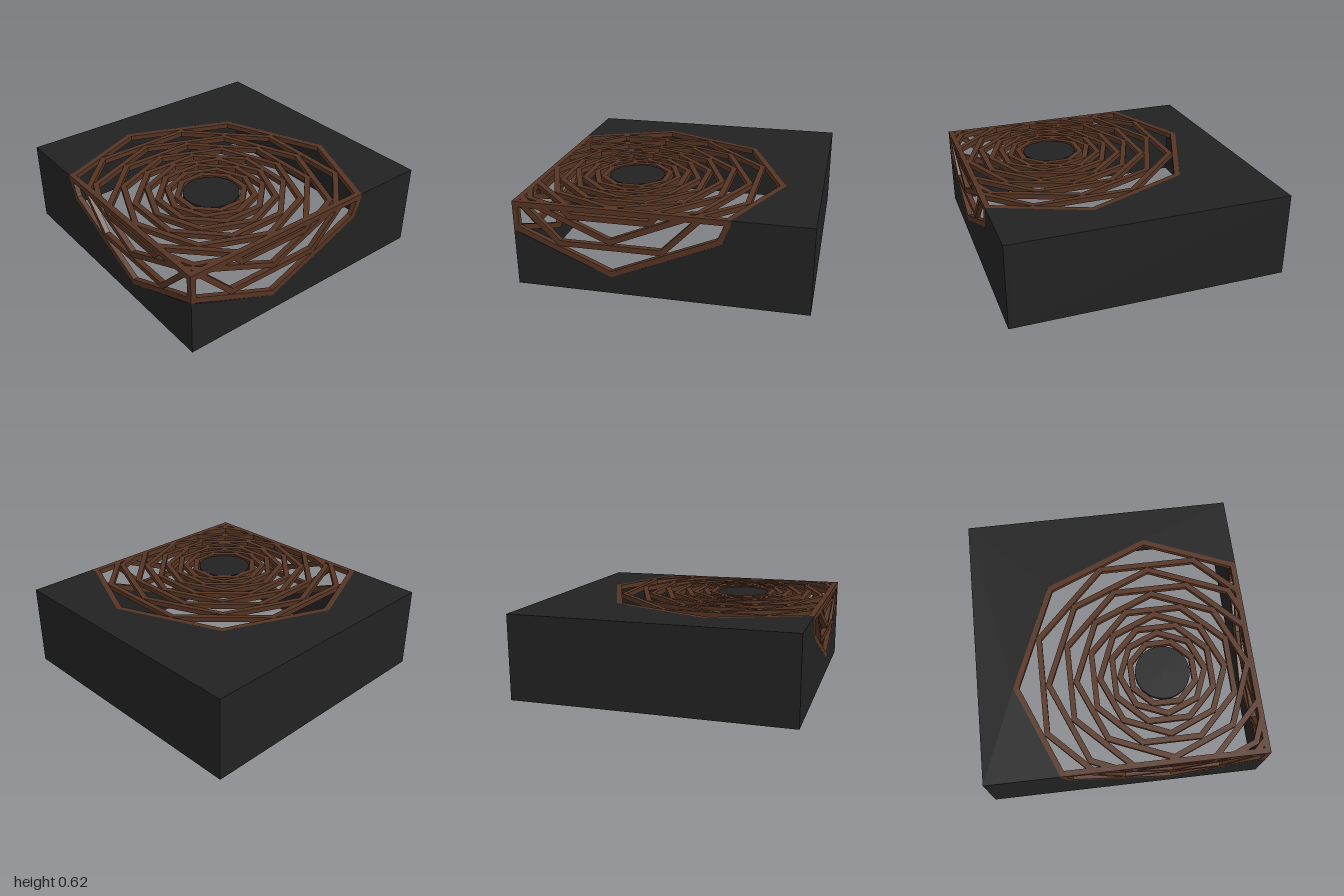
import * as THREE from 'three';
import { mergeGeometries } from 'three/addons/utils/BufferGeometryUtils.js';

const H = 0.61;        // box height
const WALL = 0.03;     // panel thickness
const BAR = 0.0395;    // width of the grille bars
const C = 0.33;        // distance of the grille centre from the middle

// Keeps the part of a convex polygon where sign * p[axis] >= sign * limit
function clip(poly, axis, limit, sign) {
  const out = [];
  poly.forEach((p, i) => {
    const q = poly[(i + 1) % poly.length];
    const dp = sign * (p[axis] - limit), dq = sign * (q[axis] - limit);
    if (dp >= 0) out.push(p);
    if (dp * dq < 0) {
      const t = dp / (dp - dq);
      out.push([p[0] + (q[0] - p[0]) * t, p[1] + (q[1] - p[1]) * t]);
    }
  });
  return out;
}

// Flat plate with its outer face at local z = level
function plate(points, depth, level) {
  const shape = new THREE.Shape(points.map(([x, y]) => new THREE.Vector2(x, y)));
  return new THREE.ExtrudeGeometry(shape, { depth, bevelEnabled: false }).translate(0, 0, level - depth);
}

// Nested octagons, each inscribed in the previous one and clipped at the box edges
function grille({ count, radius, cx, cy, scaleX = 1, mirror = 1, clips, level, lift = 0 }) {
  const bars = [];
  let r = radius;
  for (let k = 0; k < count; k++) {
    const inner = r - BAR / Math.cos(Math.PI / 8);
    const corner = (rad, i) => {
      const a = i * Math.PI / 4 + (k % 2) * Math.PI / 8;
      return [cx + rad * Math.cos(a) * scaleX, cy + rad * Math.sin(a)];
    };
    for (let i = 0; i < 8; i++) {
      let quad = [corner(r, i), corner(r, i + 1), corner(inner, i + 1), corner(inner, i)];
      for (const c of clips) quad = clip(quad, ...c);
      if (quad.length < 3) continue;
      bars.push(plate(quad.map(([x, y]) => [x * mirror, y]), 0.037, level + (k >= 6 ? lift : 0)));
    }
    r = r * Math.cos(Math.PI / 8) - BAR;
  }
  return mergeGeometries(bars);
}

export function createModel() {
  const model = new THREE.Group();
  const black = new THREE.MeshStandardMaterial({ color: 0x222222 });
  black.name = 'black';
  const brown = new THREE.MeshStandardMaterial({ color: 0x553423 });
  brown.name = 'brown';

  const add = (name, geometry, material, parent = model) => {
    const mesh = new THREE.Mesh(geometry, material);
    mesh.name = name;
    parent.add(mesh);
    return mesh;
  };
  const box = (name, size, pos, material) =>
    add(name, new THREE.BoxGeometry(...size), material).position.set(...pos);

  // Top panel with the octagonal opening running over two edges
  const top = new THREE.Group();
  top.name = 'top';
  top.rotation.x = -Math.PI / 2;
  model.add(top);
  add('topPanel', plate([
    [-1, 1], [1, 1], [1, -1], [0.467, -1], [0.746, -C], [0.431, 0.431], [-C, 0.746], [-1, 0.467],
  ], WALL, H), black, top);
  add('topGrille', grille({
    count: 10, radius: 1.076, cx: -C, cy: -C, level: H, lift: 0.005,
    clips: [[0, -1, 1], [1, -1, 1]],
  }), brown, top);

  // Disc in the middle of the grille
  const disc = add('centreDisc', new THREE.CylinderGeometry(0.197, 0.197, WALL, 48), black);
  disc.position.set(-C, H - WALL / 2, C);

  // Front wall and its mirrored twin on the -x side
  for (const [name, mirror] of [['front', 1], ['side', -1]]) {
    const wall = new THREE.Group();
    wall.name = name + 'Wall';
    wall.rotation.y = mirror > 0 ? 0 : -Math.PI / 2;
    model.add(wall);
    const outline = [[-1, 0], [1, 0], [1, H], [0.48, H], [0.415, 0.436], [-C, 0.12], [-1, 0.4]];
    add(name + 'Panel', plate(outline.map(([x, y]) => [x * mirror, y]), WALL, 1), black, wall);
    add(name + 'Grille', grille({
      count: 4, radius: 1.08, cx: -C, cy: 1.2, scaleX: 0.975, mirror, level: 1,
      clips: [[0, -1, 1], [1, H, -1]],
    }), brown, wall);
  }

  // Closed walls
  box('backWall', [2, H, WALL], [0, H / 2, -1 + WALL / 2], black);
  box('plainSideWall', [WALL, H, 2], [1 - WALL / 2, H / 2, 0], black);

  // Bars along the edges crossed by the opening
  const e = 1 - BAR / 2;
  box('frontEdgeBar', [1.47, BAR, BAR], [-0.265, H - BAR / 2, e], brown);
  box('sideEdgeBar', [BAR, BAR, 1.47], [-e, H - BAR / 2, 0.265], brown);
  box('cornerBar', [BAR, 0.21, BAR], [-e, H - 0.105, e], brown);

  return model;
}
